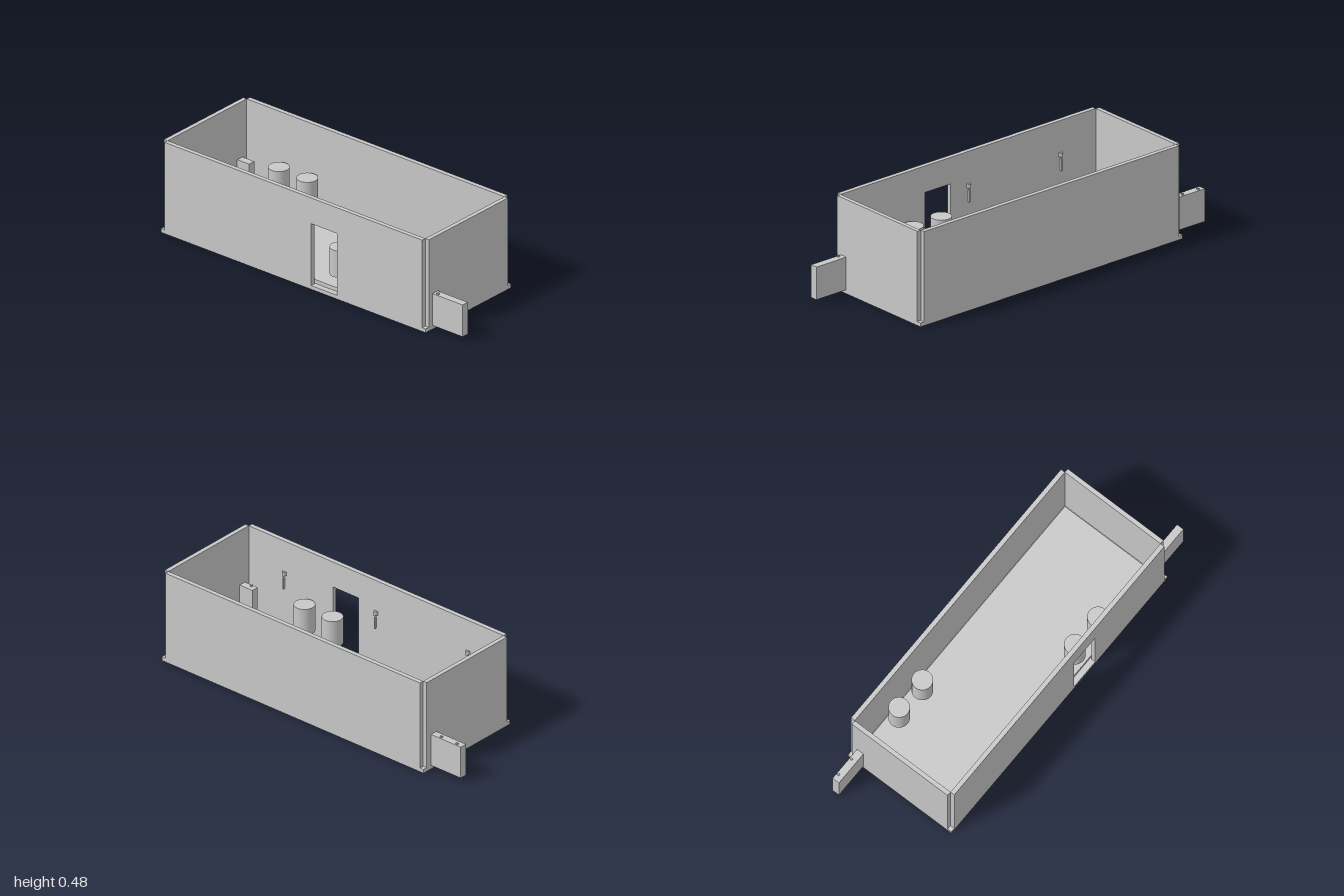
import * as THREE from 'three';

export function createModel() {
  const model = new THREE.Group();
  model.name = 'openRoom';
  const grey = new THREE.MeshStandardMaterial({ color: 0xc8c8c8 });
  grey.name = 'light grey';

  const add = (name, geometry, x = 0, y = 0, z = 0, parent = model) => {
    const mesh = new THREE.Mesh(geometry, grey);
    mesh.name = name;
    mesh.position.set(x, y, z);
    parent.add(mesh);
    return mesh;
  };
  // box given by its minimum and maximum corners
  const span = (name, [x0, y0, z0], [x1, y1, z1]) =>
    add(name, new THREE.BoxGeometry(x1 - x0, y1 - y0, z1 - z0),
      (x0 + x1) / 2, (y0 + y1) / 2, (z0 + z1) / 2);

  const X = 0.31, Z = 0.815, H = 0.48, BASE = 0.02, FLOOR = 0.04;
  const IX = 0.287, IZ = 0.793;

  // base plate and the raised, slightly inset floor
  span('basePlate', [-X, 0, -Z], [X, BASE, Z]);
  span('raisedFloor', [-0.28, BASE, -0.785], [0.28, FLOOR, 0.785]);

  // end walls and the plain side wall, leaving open notches at the corners
  span('frontWall', [-IX, BASE, IZ], [IX, H, Z]);
  span('backWall', [-IX, BASE, -Z], [IX, H, -IZ]);
  span('plainSideWall', [IX, BASE, -IZ], [X, H, IZ]);

  // side wall with a doorway; shape x runs along -z
  const outline = [
    [-IZ, BASE], [-0.27, BASE], [-0.27, 0.345], [-0.11, 0.345],
    [-0.11, BASE], [IZ, BASE], [IZ, H], [-IZ, H],
  ].map(([a, b]) => new THREE.Vector2(a, b));
  const doorWall = new THREE.ExtrudeGeometry(new THREE.Shape(outline),
    { depth: X - IX, bevelEnabled: false });
  doorWall.rotateY(Math.PI / 2);
  add('doorwaySideWall', doorWall, -X);

  // round stools on slim posts, two near each end
  for (const [x, z] of [[0.222, -0.54], [0.222, -0.365], [-0.228, 0.22], [-0.228, 0.395]]) {
    const stool = new THREE.Group();
    stool.name = 'stool';
    stool.position.set(x, 0, z);
    add('drum', new THREE.CylinderGeometry(0.051, 0.051, 0.14, 48), 0, 0.16, 0, stool);
    add('post', new THREE.CylinderGeometry(0.008, 0.008, 0.05, 16), 0, 0.065, 0, stool);
    model.add(stool);
  }

  // slabs passing through the end walls, with small studs on top
  span('frontSlab', [-0.26, BASE, 0.715], [-0.222, 0.187, 1]);
  span('backSlab', [0.218, BASE, -1], [0.256, 0.187, -0.72]);
  for (const [x, z] of [[-0.25, 0.84], [-0.25, 0.745], [0.245, -0.87], [0.245, -0.968]]) {
    add('slabStud', new THREE.BoxGeometry(0.01, 0.008, 0.01), x, 0.191, z);
  }

  // pegs with hanging bars on the inside of the doorway wall
  for (const z of [-0.573, 0, 0.57]) {
    const peg = new THREE.Group();
    peg.name = 'wallPeg';
    peg.position.set(-IX, 0, z);
    const wedge = new THREE.CylinderGeometry(0.013, 0.013, 0.02, 3);
    wedge.rotateY(Math.PI / 2);
    add('pegHead', wedge, 0.007, 0.307, 0, peg);
    add('pegBar', new THREE.BoxGeometry(0.012, 0.06, 0.006), 0.006, 0.255, 0, peg);
    model.add(peg);
  }

  return model;
}
